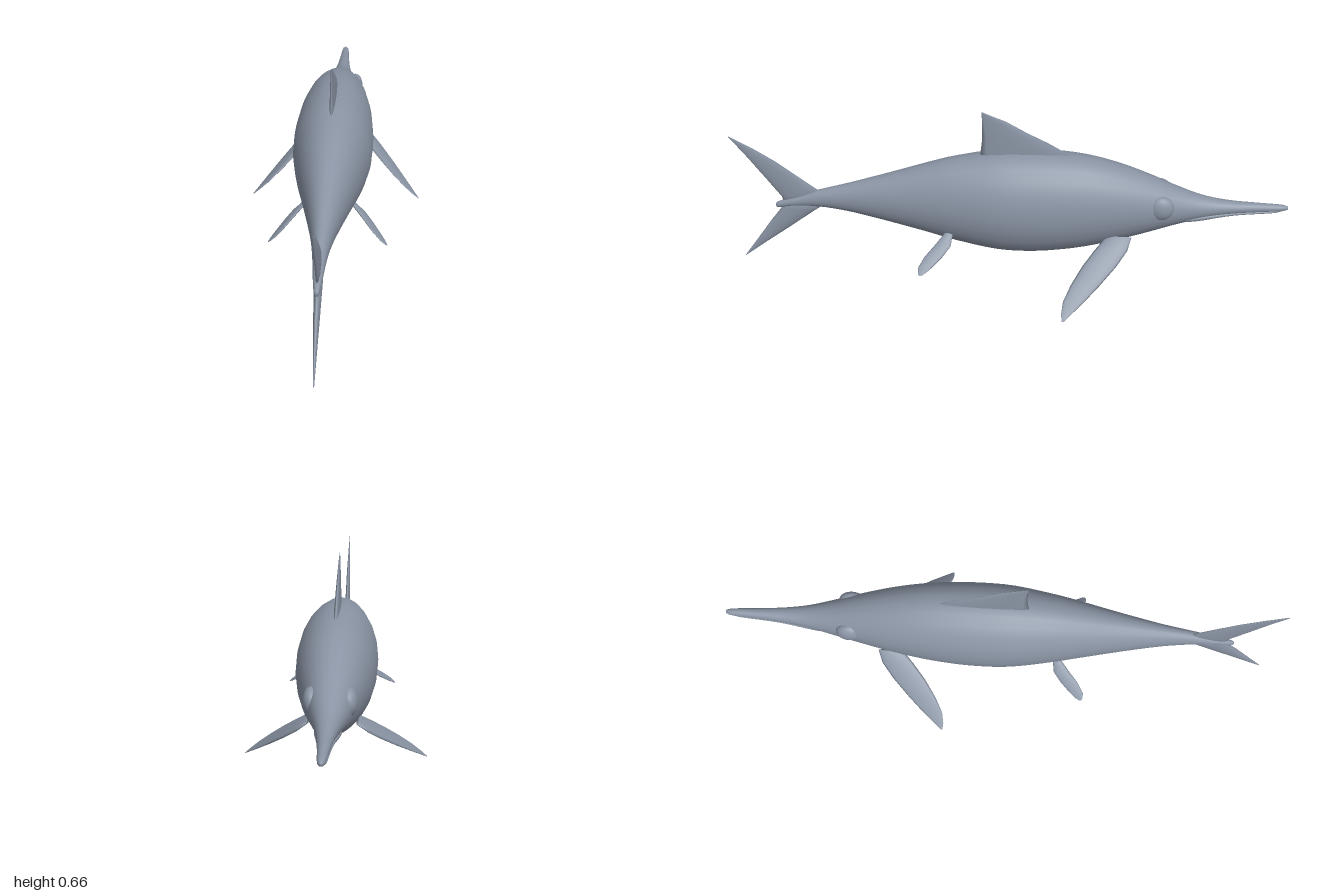
import * as THREE from 'three';

const V = (x, y, z) => new THREE.Vector3(x, y, z);

// Skin a list of closed rings (equal point counts) and cap both ends.
function loft(rings) {
  const n = rings[0].length, pos = [], idx = [];
  rings.forEach(r => r.forEach(p => pos.push(p.x, p.y, p.z)));
  for (let i = 0; i < rings.length - 1; i++) {
    for (let j = 0; j < n; j++) {
      const a = i * n + j, b = i * n + (j + 1) % n;
      idx.push(a, b, b + n, a, b + n, a + n);
    }
  }
  [0, rings.length - 1].forEach(i => {
    const c = V(0, 0, 0), k = pos.length / 3;
    rings[i].forEach(p => c.addScaledVector(p, 1 / n));
    pos.push(c.x, c.y, c.z);
    for (let j = 0; j < n; j++) {
      const a = i * n + j, b = i * n + (j + 1) % n;
      if (i) idx.push(k, a, b); else idx.push(k, b, a);
    }
  });
  // Signed volume decides which way the faces must turn.
  const P = i => V(pos[i * 3], pos[i * 3 + 1], pos[i * 3 + 2]);
  let vol = 0;
  for (let i = 0; i < idx.length; i += 3) vol += P(idx[i]).dot(P(idx[i + 1]).cross(P(idx[i + 2])));
  if (vol < 0) idx.reverse();
  const g = new THREE.BufferGeometry();
  g.setAttribute('position', new THREE.Float32BufferAttribute(pos, 3));
  g.setIndex(idx);
  g.computeVertexNormals();
  return g;
}

// Oval tube along z. Sections: [z, top, bottom, halfWidth].
function ovalBody(sections, steps) {
  const height = new THREE.CatmullRomCurve3(sections.map(s => V(s[0], s[1], s[2])), false, 'catmullrom');
  const width = new THREE.CatmullRomCurve3(sections.map(s => V(s[0], s[3], 0)), false, 'catmullrom');
  const rings = [];
  for (let i = 0; i <= steps; i++) {
    const h = height.getPoint(i / steps), w = width.getPoint(i / steps).y, ring = [];
    for (let j = 0; j < 24; j++) {
      const a = j / 24 * Math.PI * 2;
      ring.push(V(Math.cos(a) * w, (h.y + h.z) / 2 + Math.sin(a) * (h.y - h.z) / 2, h.x));
    }
    rings.push(ring);
  }
  return loft(rings);
}

// Thin blade with a lens section. Stations: [leading edge, trailing edge, half thickness].
function blade(stations, normal) {
  return loft(stations.map(([lead, trail, t]) => {
    const ring = [];
    for (let j = 0; j < 12; j++) {
      const a = j / 12 * Math.PI * 2;
      ring.push(lead.clone().lerp(trail, 0.5 - 0.5 * Math.cos(a)).addScaledVector(normal, t * Math.sin(a)));
    }
    return ring;
  }));
}

// Upright fin on the midline. Rows: [leadZ, leadY, trailZ, trailY, half thickness].
const uprightFin = rows =>
  blade(rows.map(r => [V(0, r[1], r[0]), V(0, r[3], r[2]), r[4]]), V(1, 0, 0));

// Paddle slanting down and out. Rows: [distance out, leadZ, trailZ, half thickness].
function flipper(rows, side) {
  const at = (s, z) => V(side * (0.085 + 0.755 * s), 0.205 - 0.655 * s, z);
  return blade(rows.map(r => [at(r[0], r[1]), at(r[0], r[2]), r[3]]), V(side * 0.655, 0.755, 0));
}

export function createModel() {
  const group = new THREE.Group();
  const skin = new THREE.MeshStandardMaterial({ color: 0x8a94a4 });
  skin.name = 'slate grey skin';
  const add = (name, geometry) => {
    const m = new THREE.Mesh(geometry, skin);
    m.name = name;
    group.add(m);
    return m;
  };

  // Body from snout tip to tail stalk
  add('body', ovalBody([
    [-0.995, 0.298, 0.286, 0.006], [-0.97, 0.304, 0.279, 0.013], [-0.88, 0.309, 0.272, 0.019],
    [-0.78, 0.316, 0.263, 0.028], [-0.69, 0.333, 0.246, 0.042], [-0.6, 0.366, 0.222, 0.063],
    [-0.5, 0.411, 0.188, 0.087], [-0.4, 0.45, 0.157, 0.109], [-0.3, 0.479, 0.129, 0.126],
    [-0.2, 0.495, 0.11, 0.138], [-0.08, 0.501, 0.098, 0.144], [0.05, 0.496, 0.103, 0.14],
    [0.2, 0.47, 0.134, 0.116], [0.3, 0.442, 0.163, 0.096], [0.4, 0.41, 0.19, 0.075],
    [0.5, 0.379, 0.216, 0.055], [0.6, 0.349, 0.239, 0.037], [0.7, 0.321, 0.253, 0.024],
    [0.8, 0.287, 0.252, 0.015], [0.85, 0.268, 0.243, 0.009], [0.86, 0.26, 0.248, 0.004],
  ], 80));

  // Lower jaw, just proud of the snout
  add('lowerJaw', ovalBody([
    [-0.975, 0.288, 0.28, 0.008], [-0.94, 0.287, 0.273, 0.015], [-0.8, 0.284, 0.262, 0.025],
    [-0.68, 0.28, 0.241, 0.041], [-0.62, 0.275, 0.235, 0.045],
  ], 16));

  // Fins on the midline
  add('dorsalFin', uprightFin([
    [-0.24, 0.46, 0.11, 0.46, 0.012], [-0.2, 0.5, 0.107, 0.5, 0.011], [-0.13, 0.543, 0.102, 0.54, 0.009],
    [-0.06, 0.58, 0.1, 0.58, 0.007], [0.015, 0.625, 0.1, 0.625, 0.004], [0.1, 0.662, 0.102, 0.66, 0.001],
  ]));
  add('upperTailLobe', uprightFin([
    [0.66, 0.29, 0.83, 0.262, 0.009], [0.72, 0.338, 0.835, 0.29, 0.009], [0.84, 0.438, 0.89, 0.375, 0.007],
    [0.92, 0.494, 0.942, 0.455, 0.004], [1, 0.542, 1, 0.538, 0.001],
  ]));
  add('lowerTailLobe', uprightFin([
    [0.66, 0.275, 0.83, 0.265, 0.014], [0.72, 0.232, 0.835, 0.25, 0.014], [0.84, 0.14, 0.885, 0.184, 0.01],
    [0.92, 0.08, 0.94, 0.106, 0.006], [1, 0.018, 1, 0.022, 0.002],
  ]));

  // Paired flippers and eyes
  for (const [prefix, side] of [['left', 1], ['right', -1]]) {
    add(prefix + 'FrontFlipper', flipper([
      [0, -0.437, -0.345, 0.009], [0.05, -0.422, -0.305, 0.01], [0.11, -0.382, -0.262, 0.009],
      [0.18, -0.324, -0.222, 0.007], [0.24, -0.27, -0.196, 0.004], [0.285, -0.226, -0.19, 0.002],
      [0.311, -0.2, -0.193, 0.001],
    ], side));
    add(prefix + 'RearFlipper', flipper([
      [0, 0.205, 0.235, 0.006], [0.05, 0.212, 0.272, 0.006], [0.09, 0.24, 0.304, 0.005],
      [0.13, 0.276, 0.325, 0.003], [0.15, 0.298, 0.325, 0.002], [0.16, 0.312, 0.32, 0.001],
    ], side));
    const eye = add(prefix + 'Eye', new THREE.SphereGeometry(0.048, 24, 16));
    eye.scale.x = 0.6;
    eye.position.set(side * 0.06, 0.318, -0.535);
  }
  return group;
}
